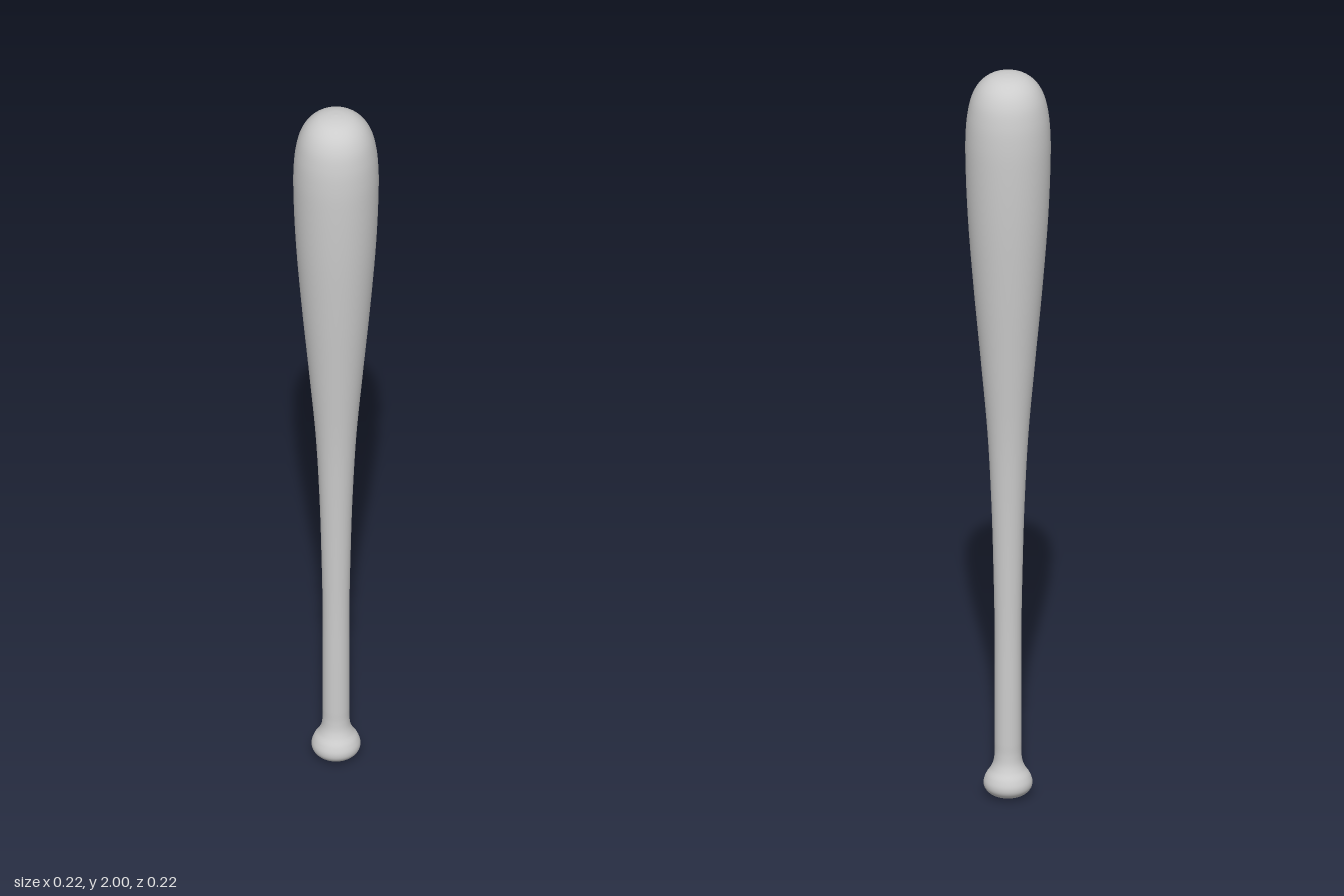
import * as THREE from 'three';

// Smooth lathe profile through [radius, height] points, listed from bottom to top
function turned(name, points, steps, material) {
  const curve = new THREE.CatmullRomCurve3(
    points.map(([r, y]) => new THREE.Vector3(r, y, 0)), false, 'centripetal');
  const profile = curve.getPoints(steps).map(p => new THREE.Vector2(Math.max(p.x, 0), p.y));
  const mesh = new THREE.Mesh(new THREE.LatheGeometry(profile, 64), material);
  mesh.name = name;
  return mesh;
}

export function createModel() {
  const bat = new THREE.Group();
  bat.name = 'bat';
  const grey = new THREE.MeshStandardMaterial({ color: 0xcccccc });
  grey.name = 'plain grey';

  // Rounded knob flaring out below the grip
  bat.add(turned('knob', [
    [0, 0], [0.025, 0.002], [0.048, 0.011], [0.06, 0.025], [0.062, 0.04],
    [0.056, 0.058], [0.044, 0.077], [0.037, 0.095], [0.034, 0.12], [0.034, 0.15],
  ], 60, grey));

  // Slim grip swelling into the barrel with a domed end
  bat.add(turned('gripAndBarrel', [
    [0.034, 0.15], [0.034, 0.3], [0.034, 0.45], [0.037, 0.62], [0.042, 0.8],
    [0.052, 1.0], [0.069, 1.2], [0.087, 1.4], [0.102, 1.6], [0.108, 1.75],
    [0.108, 1.83], [0.103, 1.89], [0.092, 1.937], [0.075, 1.968],
    [0.052, 1.988], [0.027, 1.997], [0, 2],
  ], 120, grey));

  return bat;
}
